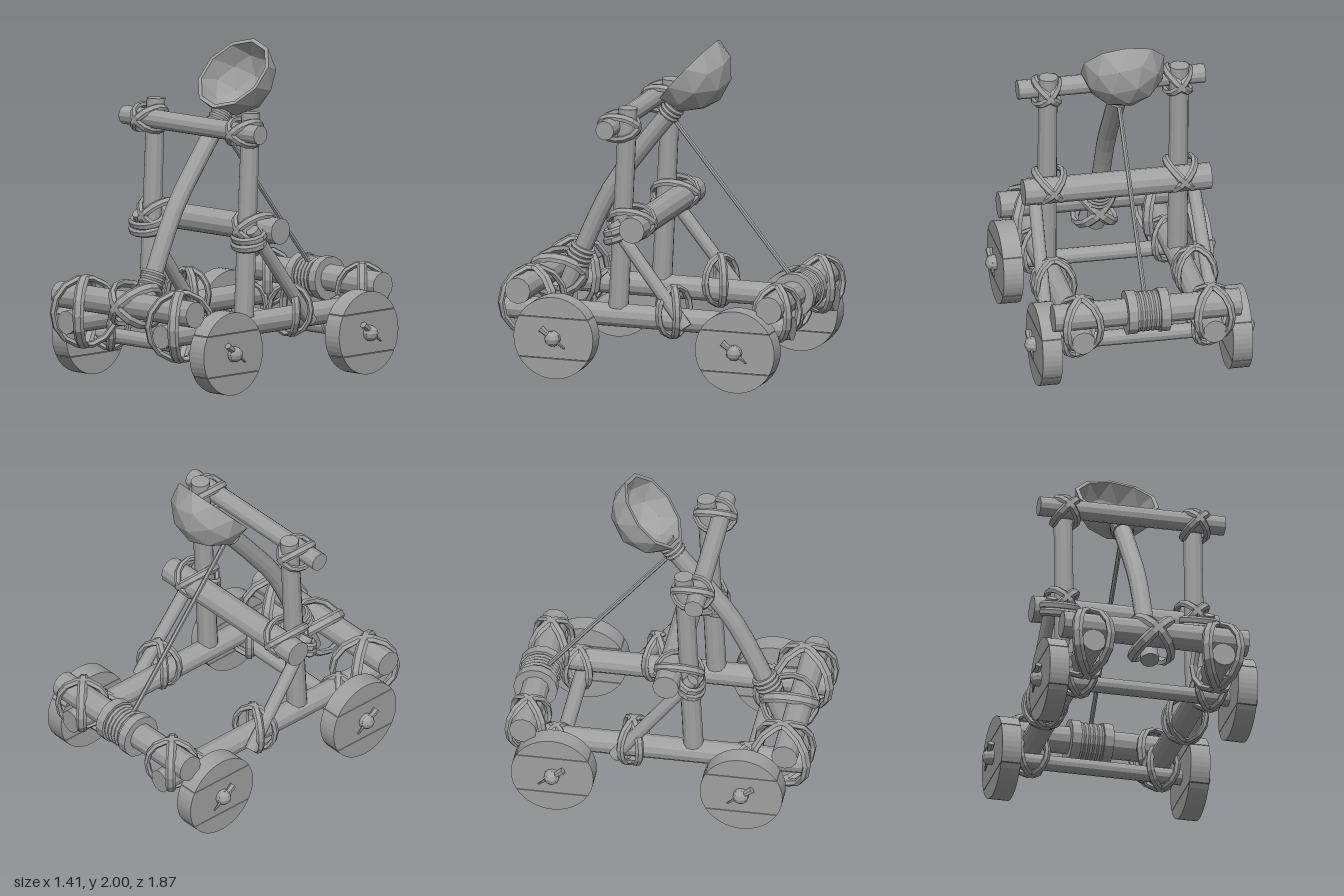
import * as THREE from 'three';

const wood = new THREE.MeshStandardMaterial({ color: 0xa0a0a0, flatShading: true });
wood.name = 'plainGrey';
const V = (x, y, z) => new THREE.Vector3(x, y, z);
const UP = V(0, 1, 0);

function add(parent, name, geo) {
  const m = new THREE.Mesh(geo, wood);
  m.name = name;
  parent.add(m);
  return m;
}

// Straight round pole from a to b
function pole(parent, name, a, b, ra, rb = ra, sides = 12) {
  const d = b.clone().sub(a);
  const m = add(parent, name, new THREE.CylinderGeometry(rb, ra, d.length(), sides));
  m.position.copy(a).add(b).multiplyScalar(0.5);
  m.quaternion.setFromUnitVectors(UP, d.normalize());
  return m;
}

// Elliptical rope band lying in the XY plane, widened along Z
function bandGeometry(rx, ry, thick, width) {
  const pts = [];
  for (let i = 0; i < 14; i++) {
    const a = (i / 14) * Math.PI * 2;
    pts.push(V(Math.cos(a) * rx, Math.sin(a) * ry, 0));
  }
  const geo = new THREE.TubeGeometry(new THREE.CatmullRomCurve3(pts, true), 14, thick, 6, true);
  return geo.scale(1, 1, width / thick);
}

// Two crossed bands sharing one axis ('y' or 'z'); du, dv give the reach of the X
function lashing(parent, name, pos, axis, du, dv, half, thick = 0.018, width = 0.026) {
  const g = new THREE.Group();
  g.name = name;
  g.position.copy(pos);
  if (axis === 'z') g.rotation.x = Math.PI / 2;
  const geo = bandGeometry(Math.hypot(du, dv), half, thick, width);
  for (const s of [-1, 1]) add(g, name + 'Band', geo).rotation.y = s * Math.atan2(dv, du);
  parent.add(g);
}

// Rope coils side by side around a pole
function coils(parent, name, centre, dir, n, r, tube, step) {
  for (let i = 0; i < n; i++) {
    const m = add(parent, name, new THREE.TorusGeometry(r, tube, 6, 14));
    m.position.copy(centre).addScaledVector(dir, (i - (n - 1) / 2) * step);
    m.quaternion.setFromUnitVectors(V(0, 0, 1), dir);
  }
}

// Wheel sawn from three horizontal planks
function wheel(parent, x, y, z) {
  const R = 0.25, cut = 0.125, gap = 0.002;
  const g = new THREE.Group();
  g.name = 'wheel';
  for (const [lo, hi] of [[-R, -cut - gap], [-cut + gap, cut - gap], [cut + gap, R]]) {
    const a = Math.asin(lo / R), b = Math.asin(hi / R), n = 8, pts = [];
    for (let i = 0; i <= n; i++) {
      const t = a + (b - a) * i / n;
      pts.push(new THREE.Vector2(Math.cos(t) * R, Math.sin(t) * R));
    }
    for (let i = n; i >= 0; i--) {
      const t = a + (b - a) * i / n;
      if (Math.cos(t) > 1e-4) pts.push(new THREE.Vector2(-Math.cos(t) * R, Math.sin(t) * R));
    }
    const geo = new THREE.ExtrudeGeometry(new THREE.Shape(pts), { depth: 0.12, bevelEnabled: false });
    add(g, 'wheelPlank', geo.translate(0, 0, -0.06).rotateY(Math.PI / 2));
  }
  g.position.set(x, y, z);
  parent.add(g);
}

// Faceted half-sphere bowl with wall thickness; opening faces local +Y
function bowlGeometry(R, r) {
  const ico = new THREE.IcosahedronGeometry(1, 1);
  const pole5 = V(-1, (1 + Math.sqrt(5)) / 2, 0).normalize();
  ico.applyQuaternion(new THREE.Quaternion().setFromUnitVectors(pole5, UP));
  const p = ico.attributes.position, out = [];
  const put = (v, k) => out.push(v.x * k, v.y * k, v.z * k);
  for (let i = 0; i < p.count; i += 3) {
    const t = [0, 1, 2].map(k => new THREE.Vector3().fromBufferAttribute(p, i + k));
    if (t[0].y + t[1].y + t[2].y > -0.01) continue;
    t.forEach(v => put(v, R));
    [t[0], t[2], t[1]].forEach(v => put(v, r));
  }
  // rim
  for (let i = 0; i < 10; i++) {
    const [a, b] = [i, i + 1].map(k => {
      const t = (18 + 36 * k) * Math.PI / 180;
      return V(Math.cos(t), 0, Math.sin(t));
    });
    put(a, R); put(a, r); put(b, R);
    put(b, R); put(a, r); put(b, r);
  }
  const geo = new THREE.BufferGeometry();
  geo.setAttribute('position', new THREE.Float32BufferAttribute(out, 3));
  geo.computeVertexNormals();
  return geo;
}

export function createModel() {
  const model = new THREE.Group();
  model.name = 'catapult';

  // Crossbars: y, z, radius
  const bars = [['frontCrossbar', 0.51, 0.78, 0.08], ['rearCrossbar', 0.51, -0.805, 0.083],
    ['middleCrossbar', 0.935, 0.06, 0.08], ['topCrossbar', 1.535, 0.23, 0.058]];
  for (const [name, y, z, r] of bars) pole(model, name, V(-0.57, y, z), V(0.57, y, z), r);

  // Axles with rounded ends, pegs and wheels
  for (const z of [0.53, -0.615]) {
    pole(model, 'axle', V(-0.665, 0.255, z), V(0.665, 0.255, z), 0.047);
    for (const s of [-1, 1]) {
      wheel(model, s * 0.58, 0.255, z);
      add(model, 'axleEnd', new THREE.SphereGeometry(0.048, 10, 6)).position.set(s * 0.655, 0.255, z);
      pole(model, 'axlePeg', V(s * 0.665, 0.2, z - 0.08), V(s * 0.665, 0.315, z + 0.07), 0.005, 0.022, 6);
    }
  }

  // Side frames
  for (const s of [-1, 1]) {
    const x = s * 0.4;
    pole(model, 'sideRail', V(x, 0.37, 0.9), V(x, 0.37, -0.9), 0.072);
    pole(model, 'upright', V(x, 0.42, 0.2), V(x, 1.645, 0.14), 0.062, 0.057);
    pole(model, 'brace', V(s * 0.505, 0.35, -0.26), V(s * 0.48, 0.95, 0.21), 0.04);
    lashing(model, 'frontLashing', V(x, 0.42, 0.74), 'y', 0.105, 0.165, 0.205, 0.02, 0.034);
    lashing(model, 'rearLashing', V(x, 0.46, -0.8), 'y', 0.105, 0.105, 0.165, 0.018, 0.03);
    for (const z of [0.53, -0.63]) lashing(model, 'axleLashing', V(x, 0.31, z), 'y', 0.085, 0.075, 0.135);
    lashing(model, 'topLashing', V(x, 1.53, 0.195), 'z', 0.07, 0.07, 0.12);
    lashing(model, 'middleLashing', V(x, 0.945, 0.115), 'z', 0.085, 0.085, 0.14);
    lashing(model, 'braceFootLashing', V(s * 0.43, 0.425, -0.16), 'y', 0.115, 0.06, 0.15);
    // Bands tying the brace to the upright
    for (const dy of [-0.02, 0.025]) {
      const m = add(model, 'braceTopBand', bandGeometry(0.11, 0.075, 0.018, 0.026));
      m.position.set(s * 0.43, 0.88 + dy, 0.19);
      m.rotation.x = Math.PI / 2 + 0.35;
    }
  }

  // Bent throwing arm with its bindings
  const path = new THREE.CatmullRomCurve3([V(0, 0.4, 0.67), V(0, 0.66, 0.565), V(0, 1.06, 0.375),
    V(0, 1.3, 0.2), V(0, 1.59, -0.03)]);
  add(model, 'throwingArm', new THREE.TubeGeometry(path, 10, 0.056, 12, false));
  pole(model, 'armFoot', V(0, 0.385, 0.676), V(0, 0.42, 0.662), 0.056);
  pole(model, 'armTip', V(0, 1.57, -0.015), V(0, 1.6, -0.038), 0.056);
  coils(model, 'armFootCoil', V(0, 0.625, 0.58), V(0, 0.9, -0.42).normalize(), 4, 0.063, 0.018, 0.03);
  coils(model, 'armTipCoil', V(0, 1.55, 0.005), V(0, 0.79, -0.61).normalize(), 3, 0.055, 0.016, 0.028);
  lashing(model, 'armLashing', V(0, 0.505, 0.715), 'z', 0.115, 0.115, 0.165, 0.02, 0.034);

  // Bowl
  const bowl = add(model, 'bowl', bowlGeometry(0.257, 0.232));
  bowl.position.set(0, 1.81, -0.112);
  bowl.quaternion.setFromUnitVectors(UP, V(0, 0.67, 0.74).normalize());

  // Pull rope and the spool on the rear bar
  pole(model, 'pullRope', V(0, 0.6, -0.745), V(0, 1.53, 0.015), 0.014, 0.014, 6);
  for (const s of [-1, 1]) pole(model, 'spoolBand', V(s * 0.07, 0.505, -0.805), V(s * 0.128, 0.505, -0.805), 0.134, 0.134, 14);
  coils(model, 'spoolCoil', V(0, 0.505, -0.805), V(1, 0, 0), 5, 0.107, 0.018, 0.028);

  return model;
}
